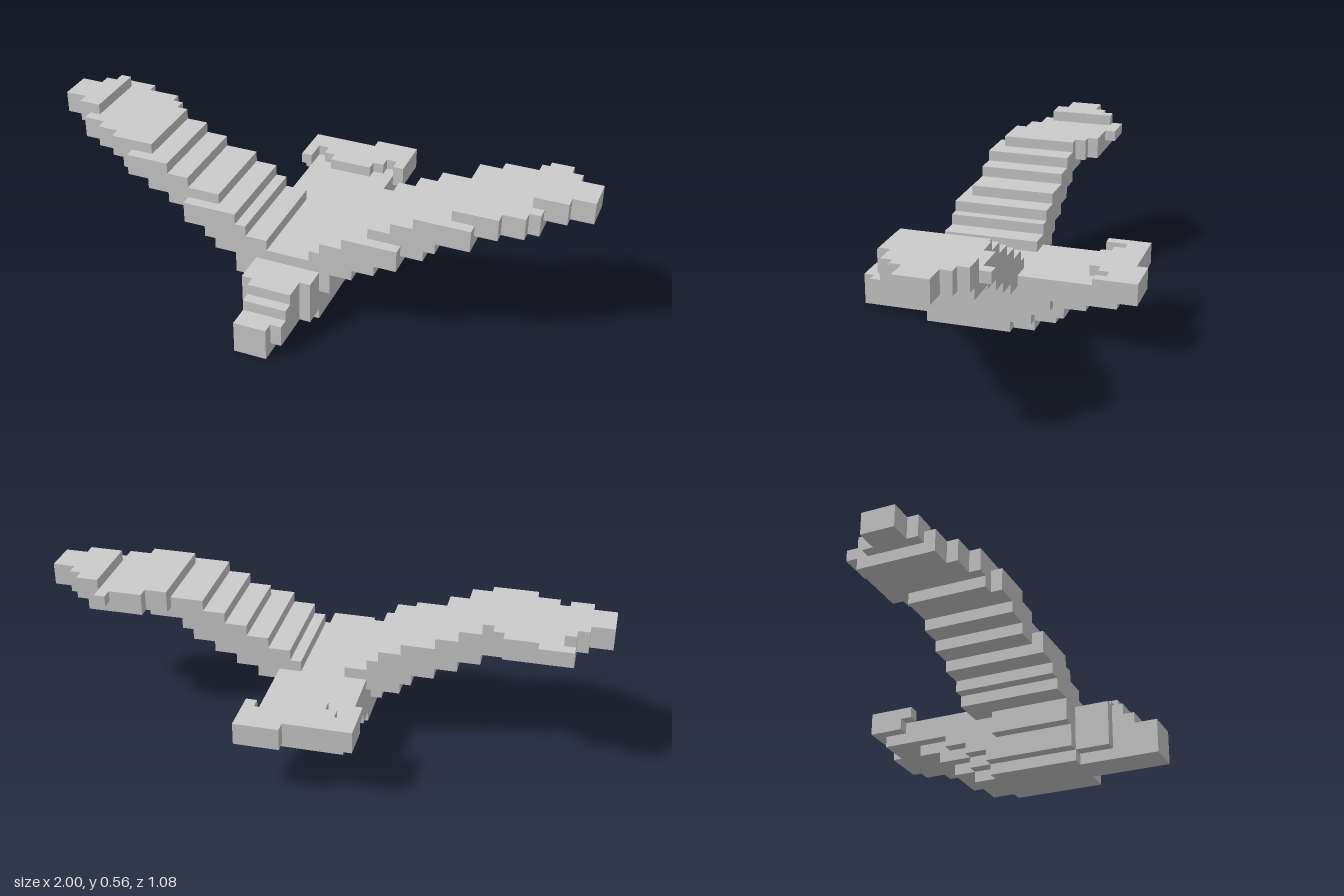
import * as THREE from 'three';

// Cube edge; x and z cells are offset so the grid is centred.
const S = 0.04, Z0 = -0.54;

// Wing layers: [y, xInner, xOuter, zBack, zFront] in cells.
const leftWingLayers = [
  [5, 0, 6, 11, 20], [6, 2, 8, 11, 20], [7, 3, 10, 11, 20], [8, 5, 12, 11, 20], [9, 7, 13, 11, 19],
  [10, 9, 16, 11, 19], [11, 11, 21, 9, 19], [12, 14, 25, 8, 18], [13, 20, 25, 9, 15],
];
const rightWingLayers = [
  [5, 0, 7, 11, 20], [6, 2, 8, 11, 20], [7, 4, 10, 11, 20], [8, 5, 12, 11, 20], [9, 7, 14, 11, 19],
  [10, 10, 17, 11, 19], [11, 12, 22, 9, 19], [12, 14, 25, 8, 18], [13, 21, 25, 9, 15],
];
// Wing outline seen from above: [up to this distance from the middle, z edge].
const leftBack = [[14, 11], [16, 10], [19, 9], [20, 8], [22, 9], [23, 10], [25, 11]];
const leftFront = [[10, 20], [16, 19], [18, 18], [19, 17], [20, 16.99], [21, 16], [23, 15], [25, 14]];
const rightBack = [[15, 11], [16, 10], [19, 9], [22, 8], [23, 10], [25, 11]];
const rightFront = [[10, 20], [16, 19], [18, 18], [20, 17], [22, 16], [23, 15], [25, 14]];

// Boxes of cells: [x0, x1, y0, y1, z0, z1].
const bodyBoxes = [
  [-2, 2, 0, 1, 10, 12], [-3, 3, 0, 1, 12, 20],
  [-2, 2, 1, 2, 8, 10], [-3, 3, 1, 2, 10, 12], [-4, 3, 1, 2, 12, 20],
  [-3, 3, 2, 3, 7, 10], [-4, 3, 2, 3, 10, 20],
  [-3, 3, 3, 4, 5, 8], [-4, 4, 3, 4, 8, 13], [-5, 4, 3, 4, 13, 20],
  [-4, 4, 4, 5, 8, 13], [-5, 4, 4, 5, 13, 20],
];
const headBoxes = [
  [-2, 1, 0, 1, 20, 27], [-2, 1, 1, 3, 26, 27], [-2, 2, 1, 3, 23, 26],
  [-2, 2, 3, 4, 23, 25], [-2, 2, 4, 5, 23, 24],
  [-3, 2, 1, 5, 22, 23], [-3, 3, 1, 5, 20, 22],
];
const tailBoxes = [
  [-4, 4, 4, 5, 2, 8], [-4, 4, 5, 6, 1, 11], [1, 4, 5, 6, 0, 1],
  // raised fan at the end
  [-5, 5, 6, 7, 1, 2], [1, 5, 6, 7, 0, 1], [-5, 5, 5, 6, 1, 4], [1, 5, 5, 6, 0, 1],
  [-4, 4, 6, 7, 2, 3], [-3, 3, 6, 7, 3, 4], [-2, 2, 6, 7, 4, 5],
  [-5, -4, 6, 7, 2, 5], [4, 5, 6, 7, 2, 4],
];

const key = (x, y, z) => `${x},${y},${z}`;
const at = (steps, d) => steps.find(([end]) => d < end)[1];

function fillBoxes(boxes) {
  const cells = [];
  for (const [x0, x1, y0, y1, z0, z1] of boxes)
    for (let x = x0; x < x1; x++)
      for (let y = y0; y < y1; y++)
        for (let z = z0; z < z1; z++) cells.push([x, y, z]);
  return cells;
}

// Stacks the wing layers, each trimmed by the outline; side is +1 or -1.
function fillWing(layers, back, front, side) {
  const boxes = [];
  for (const [y, inner, outer, zb, zf] of layers)
    for (let d = inner; d < outer; d++) {
      const x = side > 0 ? d : -d - 1;
      const z0 = Math.max(zb, at(back, d)), z1 = Math.min(zf, Math.round(at(front, d)));
      boxes.push([x, x + 1, y, y + 1, z0, z1]);
    }
  return fillBoxes(boxes);
}

// Builds only the cube faces that are not covered by a neighbour.
function cubeMesh(name, cells, owner, material) {
  const pos = [], nor = [], idx = [];
  for (const c of cells) {
    if (owner.get(key(...c)) !== name) continue;
    owner.set(key(...c), name + ' done');
    for (let a = 0; a < 3; a++)
      for (const s of [-1, 1]) {
        const n = [0, 0, 0];
        n[a] = s;
        if (owner.has(key(c[0] + n[0], c[1] + n[1], c[2] + n[2]))) continue;
        const u = (a + 1) % 3, v = (a + 2) % 3, base = pos.length / 3;
        for (const [i, j] of [[0, 0], [1, 0], [1, 1], [0, 1]]) {
          const p = [...c];
          if (s > 0) p[a] += 1;
          p[u] += i;
          p[v] += j;
          pos.push(p[0] * S, p[1] * S, p[2] * S + Z0);
          nor.push(...n);
        }
        const order = s > 0 ? [0, 1, 2, 0, 2, 3] : [0, 2, 1, 0, 3, 2];
        idx.push(...order.map((k) => base + k));
      }
  }
  const geometry = new THREE.BufferGeometry();
  geometry.setAttribute('position', new THREE.Float32BufferAttribute(pos, 3));
  geometry.setAttribute('normal', new THREE.Float32BufferAttribute(nor, 3));
  geometry.setIndex(idx);
  const mesh = new THREE.Mesh(geometry, material);
  mesh.name = name;
  return mesh;
}

export function createModel() {
  const group = new THREE.Group();
  group.name = 'bird';
  const material = new THREE.MeshStandardMaterial({ color: 0xcccccc, flatShading: true });
  const parts = {
    body: fillBoxes(bodyBoxes),
    head: fillBoxes(headBoxes),
    tail: fillBoxes(tailBoxes),
    leftWing: fillWing(leftWingLayers, leftBack, leftFront, 1),
    rightWing: fillWing(rightWingLayers, rightBack, rightFront, -1),
  };
  // Each cell belongs to the first part that claims it.
  const owner = new Map();
  for (const [name, cells] of Object.entries(parts))
    for (const c of cells) if (!owner.has(key(...c))) owner.set(key(...c), name);
  for (const [name, cells] of Object.entries(parts)) group.add(cubeMesh(name, cells, owner, material));
  return group;
}
